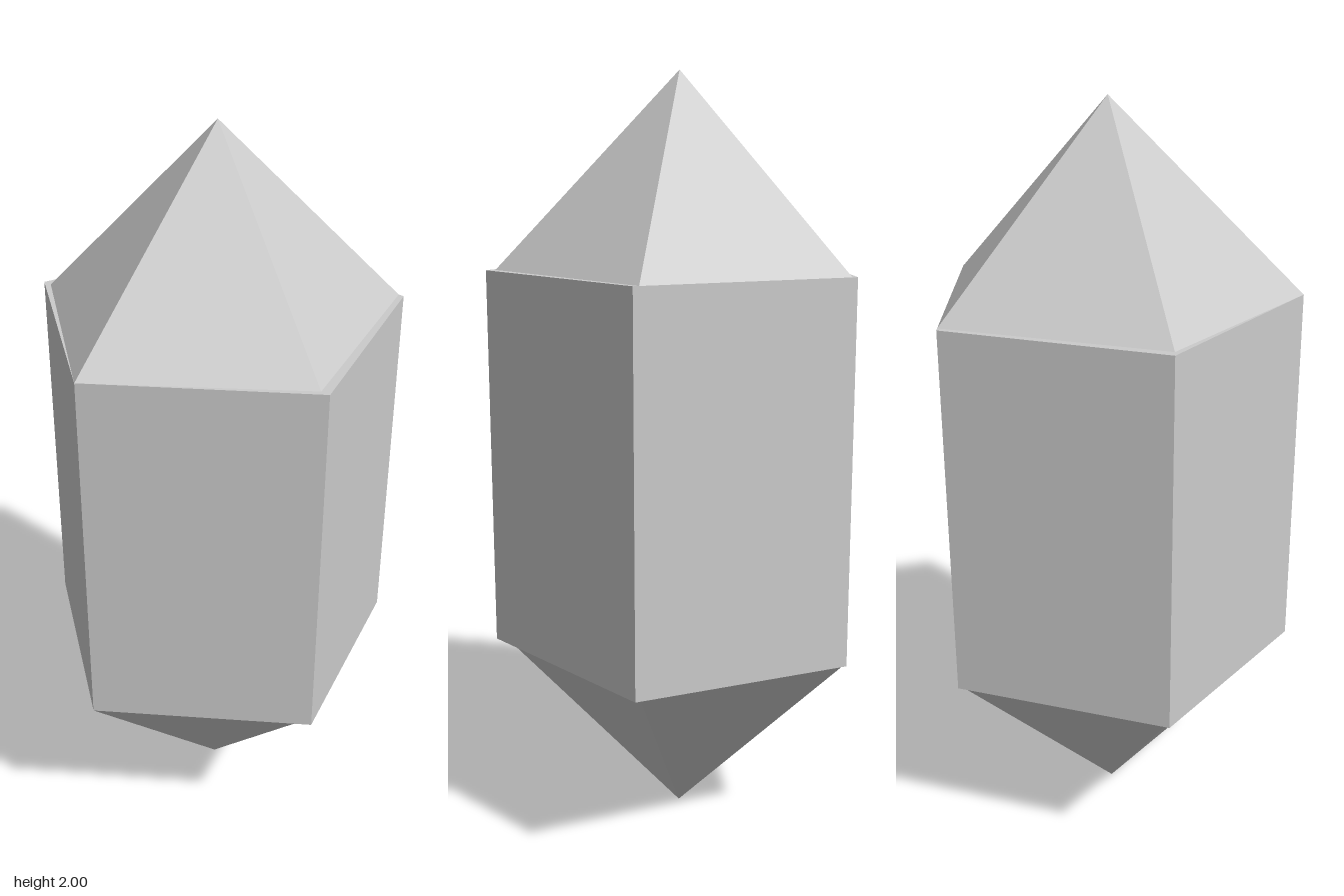
import * as THREE from 'three';

export function createModel() {
  const group = new THREE.Group();
  const material = new THREE.MeshStandardMaterial({ color: 0xcccccc, flatShading: true });

  const sides = 5;
  const radius = 0.5;
  // Centres the pentagon's depth, with one corner pointing forward
  const z = -radius * (1 - Math.cos(Math.PI / sides)) / 2;

  // Five-sided crystal body
  const body = new THREE.Mesh(new THREE.CylinderGeometry(radius, radius, 1, sides), material);
  body.name = 'crystalBody';
  body.position.set(0, 1, z);
  group.add(body);

  // Pointed ends, slightly narrower than the body
  const tipGeometry = new THREE.ConeGeometry(radius, 0.5, sides, 1, true);
  tipGeometry.scale(0.947, 1, 1);
  for (const [name, y, turn] of [['topPoint', 1.75, 0], ['bottomPoint', 0.25, Math.PI]]) {
    const tip = new THREE.Mesh(tipGeometry, material);
    tip.name = name;
    tip.position.set(0, y, z);
    tip.rotation.z = turn;
    group.add(tip);
  }

  return group;
}
